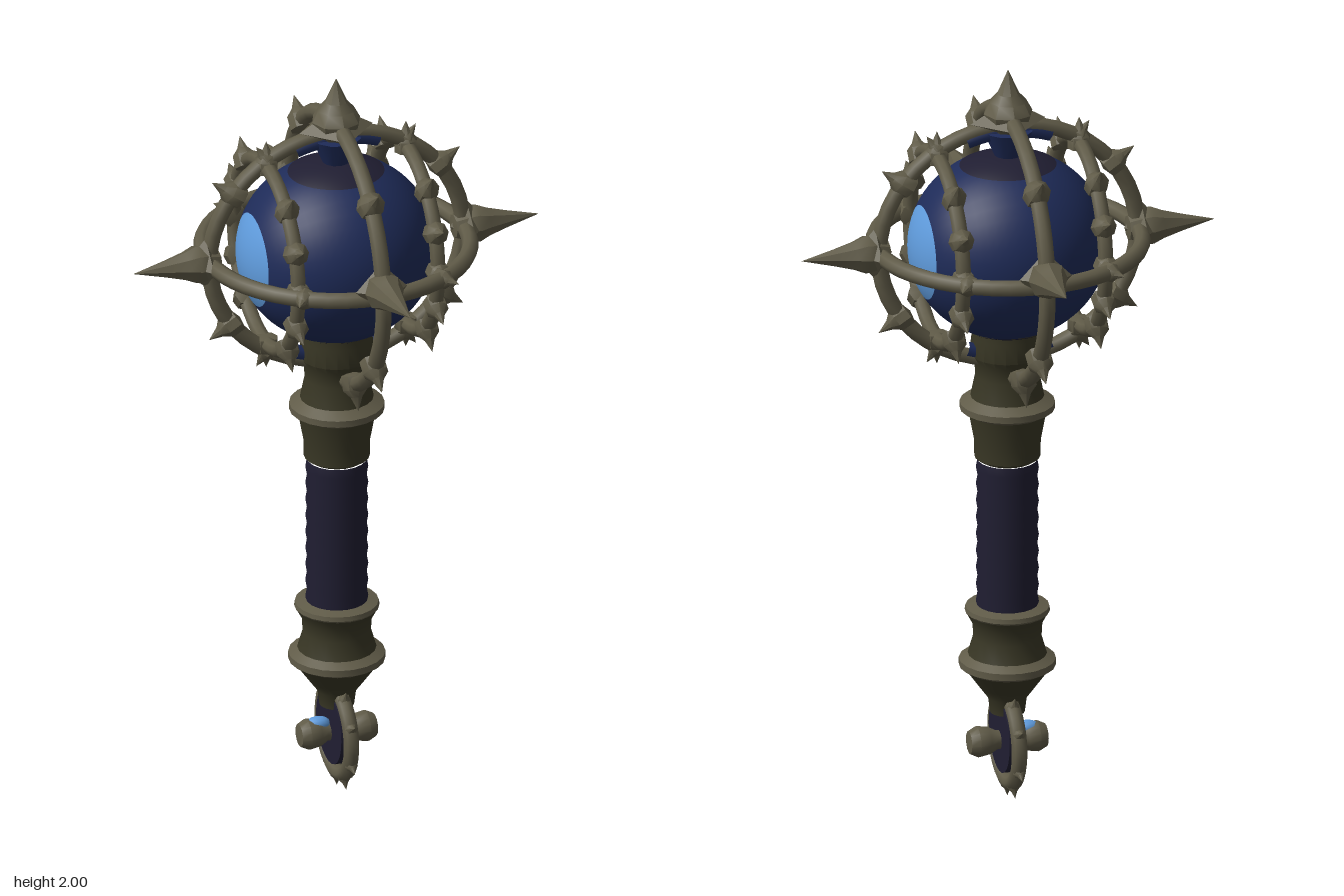
import * as THREE from 'three';
import { toCreasedNormals } from 'three/addons/utils/BufferGeometryUtils.js';

const mat = (name, color) => {
  const m = new THREE.MeshStandardMaterial({ color });
  m.name = name;
  return m;
};
const rad = THREE.MathUtils.degToRad;

export function createModel() {
  const metal = mat('aged bronze', 0x605b48);
  const darkMetal = mat('dark bronze', 0x393725);
  const navy = mat('navy', 0x1e2b58);
  const sky = mat('light blue', 0x5f9bdc);
  const leather = mat('dark purple', 0x201e32);

  const model = new THREE.Group();
  model.name = 'sceptre';

  const add = (parent, name, geometry, material, x = 0, y = 0, z = 0) => {
    const mesh = new THREE.Mesh(geometry, material);
    mesh.name = name;
    mesh.position.set(x, y, z);
    parent.add(mesh);
    return mesh;
  };
  const group = (parent, name, x = 0, y = 0, z = 0) => {
    const g = new THREE.Group();
    g.name = name;
    g.position.set(x, y, z);
    parent.add(g);
    return g;
  };
  const lathe = (points, sides) => toCreasedNormals(
    new THREE.LatheGeometry(points.map(([r, y]) => new THREE.Vector2(r, y)), sides), rad(40));

  // Small thorns along a ring, pointing away from its centre
  const thornGeo = lathe([[0, -0.03], [0.034, -0.022], [0.034, 0.015], [0.016, 0.035], [0, 0.072]], 8);
  const addThorns = (parent, radius, angles, size = 1) => angles.forEach((deg) => {
    const a = rad(deg);
    const thorn = add(parent, 'thorn', thornGeo, metal, radius * Math.cos(a), radius * Math.sin(a), 0);
    thorn.rotation.z = a - Math.PI / 2;
    thorn.scale.setScalar(size);
  });
  // Ring arc between two angles in degrees
  const addArc = (parent, name, radius, tube, from, to, material) => {
    const arc = add(parent, name, new THREE.TorusGeometry(radius, tube, 8, 48, rad(to - from)), material);
    arc.rotation.z = rad(from);
  };

  // Handle: dark turned sections with brighter rims, and a wrapped grip
  const axisZ = -0.012;
  const wraps = [[0.078, 0.515]];
  for (let i = 0; i < 9; i++) wraps.push([0.081, 0.535 + i * 0.046], [0.077, 0.558 + i * 0.046]);
  const sections = [
    ['pommelNeck', darkMetal, [[0, 0.23], [0.045, 0.23], [0.05, 0.27], [0.072, 0.30], [0.108, 0.35]]],
    ['lowerRim', metal, [[0.108, 0.35], [0.125, 0.36], [0.125, 0.378], [0.102, 0.392]]],
    ['pommelMount', darkMetal, [[0.102, 0.392], [0.088, 0.44], [0.09, 0.475], [0.106, 0.505]]],
    ['gripRim', metal, [[0.106, 0.505], [0.11, 0.51], [0.108, 0.522], [0.075, 0.53]]],
    ['grip', leather, wraps],
    ['collar', darkMetal, [[0.07, 0.925], [0.085, 0.935], [0.086, 0.98], [0.1, 1.055]]],
    ['collarRim', metal, [[0.1, 1.055], [0.123, 1.068], [0.123, 1.085], [0.095, 1.102]]],
    ['orbSeat', darkMetal, [[0.095, 1.102], [0.083, 1.16], [0.085, 1.2], [0.098, 1.22], [0.092, 1.27], [0.094, 1.31], [0, 1.31]]],
  ];
  for (const [name, material, points] of sections) add(model, name, lathe(points, 20), material, 0, 0, axisZ);

  // Pommel ring with an inset disc and a cross pin
  const pommel = group(model, 'pommel', 0, 0.153, axisZ);
  const pommelRing = group(pommel, 'pommelRing');
  pommelRing.rotation.y = Math.PI / 2;
  addArc(pommelRing, 'pommelHoop', 0.114, 0.021, 0, 360, metal);
  addThorns(pommelRing, 0.12, [-25, 25, -62, 62, -118, 118, -155, 155, -90], 0.5);
  const disc = add(pommel, 'pommelDisc', new THREE.CylinderGeometry(0.098, 0.098, 0.044, 24), leather, 0, 0.012, 0);
  disc.rotation.z = Math.PI / 2;
  const pin = add(pommel, 'pommelPin', lathe([
    [0, -0.107], [0.03, -0.102], [0.041, -0.08], [0.036, -0.05], [0.025, -0.03],
    [0.025, 0.03], [0.036, 0.05], [0.041, 0.08], [0.03, 0.102], [0, 0.107]], 14), metal);
  pin.rotation.z = Math.PI / 2;
  const inlay = add(pommel, 'pinInlay', new THREE.SphereGeometry(0.024, 12, 8), sky, -0.052, 0.026, 0);
  inlay.scale.set(1.4, 0.8, 0.9);

  // Orb: blue band with a light cap on each side and dark caps at the poles
  const head = group(model, 'head', 0, 1.53, -0.018);
  const orb = group(head, 'orb', 0, -0.01, 0);
  orb.scale.set(1, 0.95, 0.94);
  const R = 0.26, cap = 0.52;
  const slice = (name, from, length, material, r = R) =>
    add(orb, name, new THREE.SphereGeometry(r, 40, 24, 0, Math.PI * 2, from, length), material);
  slice('orbBand', cap, Math.PI - 2 * cap, navy).rotation.z = Math.PI / 2;
  slice('orbSideCap', 0, cap, sky).rotation.z = Math.PI / 2;
  slice('orbSideCap', Math.PI - cap, cap, sky).rotation.z = Math.PI / 2;
  slice('orbTopCap', 0, 0.5, leather, R + 0.002);
  slice('orbBottomCap', Math.PI - 0.5, 0.5, leather, R + 0.002);

  // Cage: three great rings, the front one with blue linings at top and bottom
  const ringR = 0.345, tube = 0.022;
  const frontRing = group(head, 'frontRing', 0, -0.003, 0);
  frontRing.scale.y = 0.93;
  addArc(frontRing, 'frontHoop', ringR, tube, 0, 360, metal);
  for (const mid of [90, 270]) addArc(frontRing, 'frontLining', ringR - 0.016, 0.024, mid - 20, mid + 20, navy);
  addThorns(frontRing, ringR, [36, 144, -34, -146]);
  addThorns(frontRing, ringR, [57, 123, -57, -123], 0.75);

  const middleRing = group(head, 'middleRing', 0, -0.01, 0);
  middleRing.rotation.y = Math.PI / 2;
  middleRing.scale.x = 1.06;
  addArc(middleRing, 'middleHoop', ringR + 0.005, tube, 0, 360, metal);
  addThorns(middleRing, ringR + 0.005, [43, 137, -37, -143, -67, -113]);

  const levelRing = group(head, 'levelRing');
  levelRing.rotation.x = Math.PI / 2;
  addArc(levelRing, 'levelHoop', ringR, tube, 0, 360, metal);
  addThorns(levelRing, ringR, [57, 123, -57, -123], 0.75);

  // Two smaller hoops beside the orb
  for (const side of [-1, 1]) {
    const hoop = group(head, 'outerRing', side * 0.19, 0, 0);
    hoop.rotation.y = Math.PI / 2;
    addArc(hoop, 'outerHoop', 0.25, 0.02, 0, 360, metal);
    addThorns(hoop, 0.255, [0, 24, 50, 90, 130, 156, 180, 204, 230, 270, 310, 336], 0.9);
  }

  // Five large spikes on four-pointed stars where the great rings cross
  const addSpike = (name, dir, distance, length, flare, star) => {
    const d = new THREE.Vector3(...dir);
    const spike = group(head, name);
    spike.position.copy(d).multiplyScalar(distance);
    spike.quaternion.setFromUnitVectors(new THREE.Vector3(0, 1, 0), d);
    add(spike, 'spikePoint', lathe([
      [0, -0.03], [0.032, -0.025], [flare * 0.9, 0.01], [flare, 0.035], [flare * 0.75, 0.065],
      [flare * 0.45, length * 0.57], [0, length]], 8), metal);
    add(spike, 'spikeStar', lathe([[0, -0.035], [star, 0.01], [0, 0.07]], 4), metal);
  };
  addSpike('leftSpike', [1, 0, 0], ringR, 0.207, 0.052, 0.07);
  addSpike('rightSpike', [-1, 0, 0], ringR, 0.207, 0.052, 0.07);
  addSpike('frontSpike', [0, 0.08, 0.9968], ringR, 0.238, 0.052, 0.07);
  addSpike('backSpike', [0, 0.08, -0.9968], ringR, 0.205, 0.052, 0.07);
  addSpike('topSpike', [0, 1, 0], 0.318, 0.152, 0.065, 0.1);

  // Dark seat beneath the top spike
  add(head, 'topSeat', new THREE.CylinderGeometry(0.065, 0.035, 0.07, 12), navy, 0, 0.27, 0);
  return model;
}
